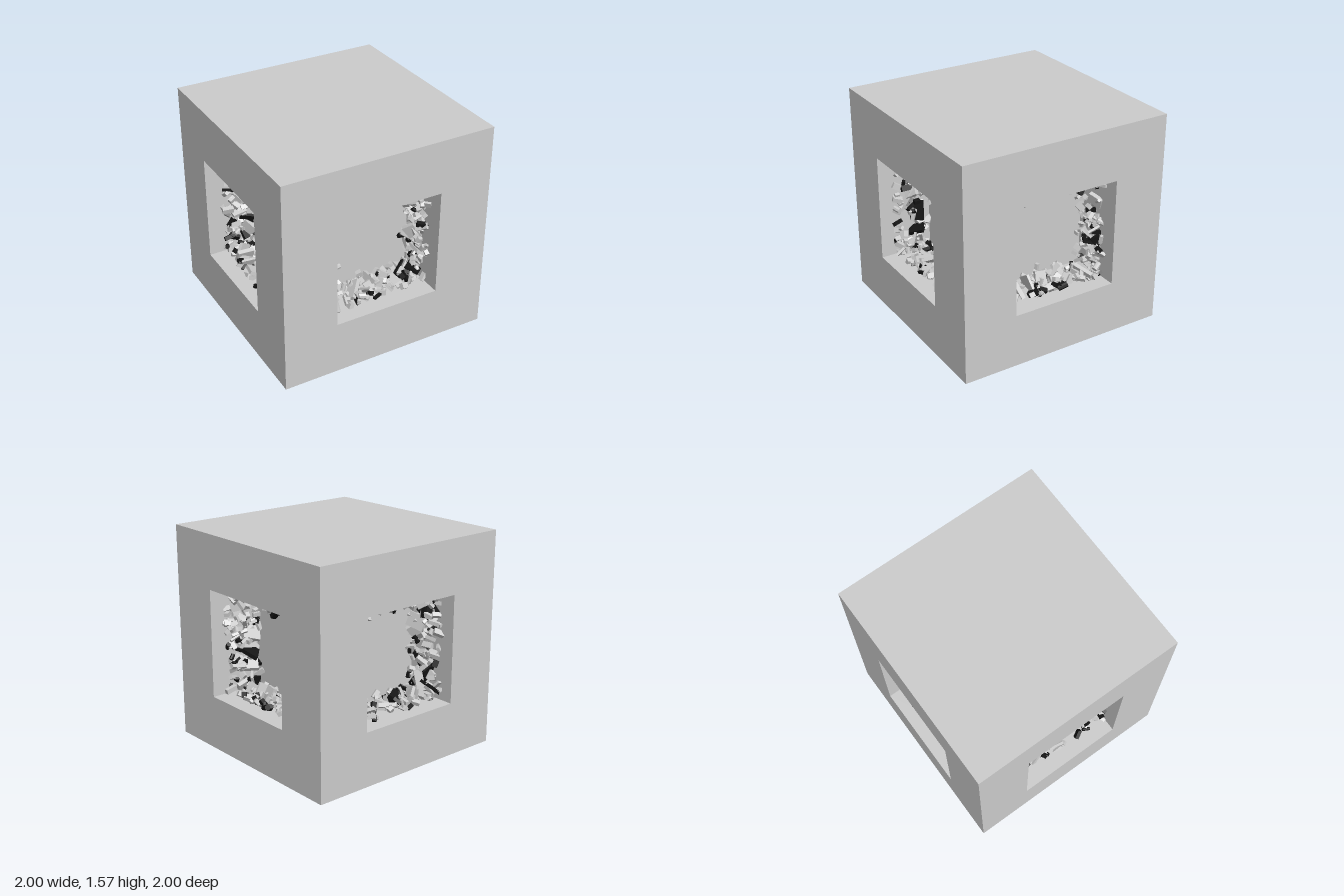
import * as THREE from 'three';
import { mergeGeometries } from 'three/addons/utils/BufferGeometryUtils.js';

const SIZE = 1.57;          // cube edge
const HALF = SIZE / 2;
const OPEN = SIZE / 4;      // half width of each square opening
const DEPTH = SIZE / 4;     // depth of each recess
const WALLS = [0, 1, 2, 3];

// Small seeded generator
function makeRandom(seed) {
  let s = seed;
  return () => {
    s = (s * 1664525 + 1013904223) % 4294967296;
    return s / 4294967296;
  };
}

function square(half, PathType) {
  return new PathType([[-1, -1], [1, -1], [1, 1], [-1, 1]]
    .map(([x, y]) => new THREE.Vector2(x * half, y * half)));
}

function named(geometry, material, name) {
  const mesh = new THREE.Mesh(geometry, material);
  mesh.name = name;
  return mesh;
}

// Outer face with a square hole, recess walls and back panel; faces +z
function sideGeometry() {
  const shape = square(HALF, THREE.Shape);
  shape.holes.push(square(OPEN, THREE.Path));
  const parts = [
    new THREE.ShapeGeometry(shape).translate(0, 0, HALF),
    new THREE.PlaneGeometry(OPEN * 2, OPEN * 2).translate(0, 0, HALF - DEPTH),
  ];
  for (const i of WALLS) {
    parts.push(new THREE.PlaneGeometry(OPEN * 2, DEPTH)
      .rotateX(-Math.PI / 2)
      .translate(0, -OPEN, HALF - DEPTH / 2)
      .rotateZ(i * Math.PI / 2));
  }
  return mergeGeometries(parts);
}

// Broken chips heaped along the four walls of a recess, sorted into tones
function rubbleGeometries(random, tones) {
  const range = (a, b) => a + (b - a) * random();
  const sets = Array.from({ length: tones }, () => []);
  for (const wall of WALLS) {
    for (let i = 0; i < 95; i++) {
      const large = i < 12;
      const tube = !large && i % 6 === 0;
      const length = large ? range(0.1, 0.16) : range(0.035, 0.09);
      const width = large ? range(0.05, 0.12) : range(0.02, 0.045);
      const chip = tube
        ? new THREE.CylinderGeometry(width * 0.5, width * 0.5, length * 0.8, 8)
        : new THREE.BoxGeometry(length, width, range(0.015, 0.035));
      chip.rotateX(range(0, Math.PI)).rotateY(range(0, Math.PI)).rotateZ(range(0, Math.PI));
      const lift = large ? range(0.01, 0.05) : range(0, 0.055);
      const inset = large ? range(0.18, 0.34) : range(0.11, 0.38);
      chip.translate(range(-OPEN, OPEN), -OPEN + lift, HALF - inset);
      chip.rotateZ(wall * Math.PI / 2);
      const pick = random();
      sets[pick < 0.5 ? 0 : pick < 0.78 ? 1 : 2].push(chip);
    }
  }
  return sets.map((set) => mergeGeometries(set));
}

export function createModel() {
  const model = new THREE.Group();
  model.name = 'recessedCube';

  const stone = new THREE.MeshStandardMaterial({ color: 0xcccccc });
  const chipTones = [0xcccccc, 0xffffff, 0x151515].map(
    (color) => new THREE.MeshStandardMaterial({ color, flatShading: true }));
  const toneNames = ['greyRubble', 'paleRubble', 'darkRubble'];

  // Plain top and underside
  const cap = new THREE.PlaneGeometry(SIZE, SIZE);
  for (const [name, sign] of [['topFace', 1], ['bottomFace', -1]]) {
    const face = named(cap, stone, name);
    face.rotation.x = -sign * Math.PI / 2;
    face.position.y = sign * HALF;
    model.add(face);
  }

  // Four recessed sides, each lined with rubble
  const wallGeometry = sideGeometry();
  ['front', 'left', 'back', 'right'].forEach((label, i) => {
    const side = new THREE.Group();
    side.name = label + 'Side';
    side.add(named(wallGeometry, stone, 'recessedFace'));
    rubbleGeometries(makeRandom(17 + i * 7919), chipTones.length).forEach((geometry, t) => {
      side.add(named(geometry, chipTones[t], toneNames[t]));
    });
    side.rotation.y = i * Math.PI / 2;
    model.add(side);
  });

  // The cube stands slightly turned
  model.rotation.y = -0.337;
  model.position.y = HALF;
  const root = new THREE.Group();
  root.name = 'model';
  root.add(model);
  return root;
}
